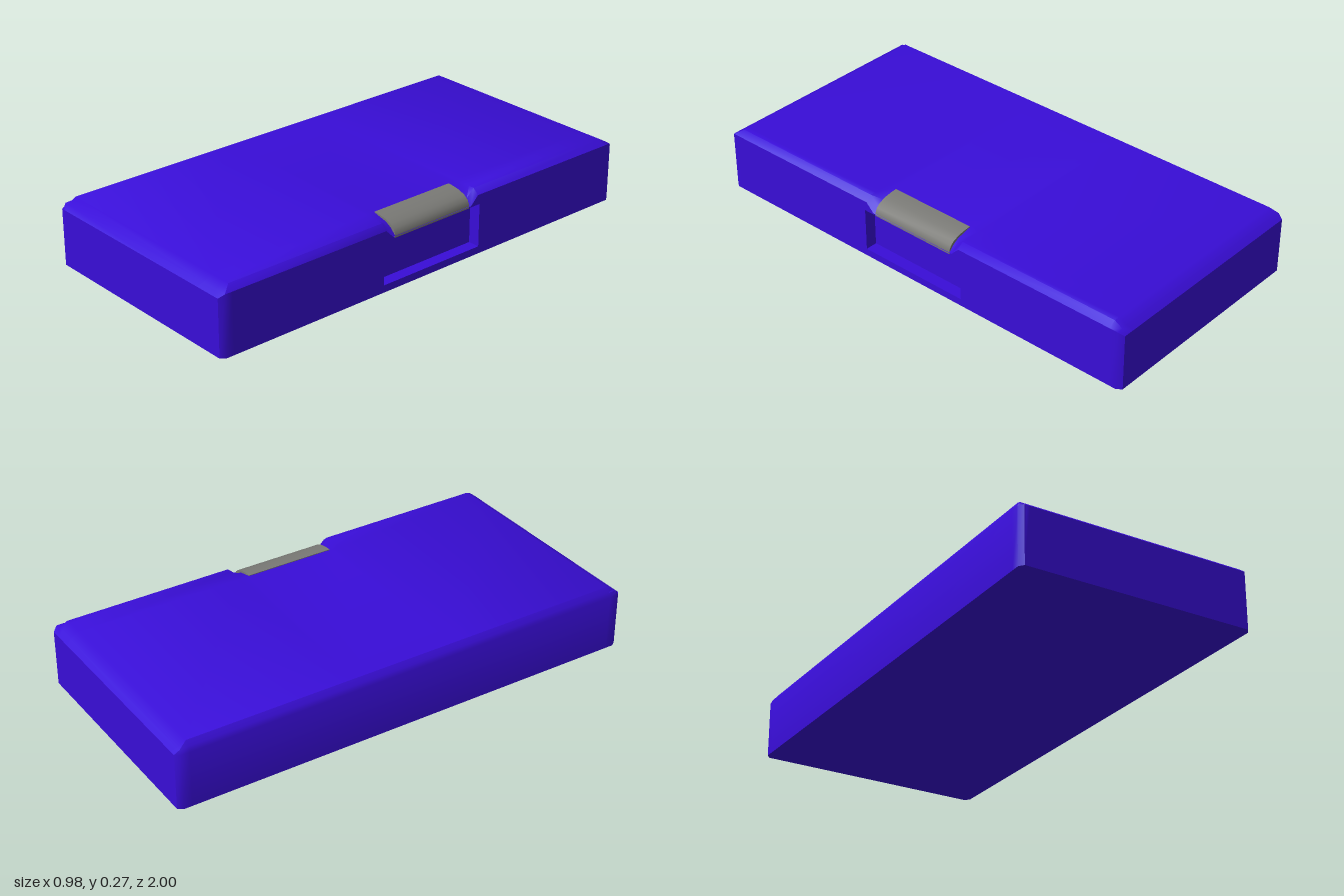
import * as THREE from 'three';
import { toCreasedNormals } from 'three/addons/utils/BufferGeometryUtils.js';

const W = 0.49;          // half width
const TOP = 0.272;       // top height
const LIP = 0.19;        // half length of the grey lip
const REC = { z: 0.245, y0: 0.03, y1: 0.21, x: 0.44 }; // finger recess

// Stations along the body: z, half width, height limit, notch under the lip
const HALF = [
  [0.2, W, TOP, true], [0.235, W, TOP, false], [0.945, W, TOP, false],
  [0.98, W, 0.252, false], [1, 0.475, 0.235, false],
];
const STATIONS = [
  ...HALF.map(([z, ...rest]) => [-z, ...rest]).reverse(),
  ...HALF,
];

// Cross-section from bottom left, over the top, to bottom right
function section([z, w, cap, notch]) {
  const edge = notch ? [0.255, 0.24, 0.215] : [TOP, TOP, 0.25];
  const pts = [
    [-W, 0], [-W, 0.235], [-0.481, 0.254], [-0.465, TOP], [0.37, TOP],
    [0.44, edge[0]], [0.465, edge[1]], [W, edge[2]], [W, 0],
  ];
  return pts.map(([x, y]) => [x * w / W, Math.min(y, cap), z]);
}

function triangles(list, crease) {
  const geo = new THREE.BufferGeometry();
  geo.setAttribute('position', new THREE.Float32BufferAttribute(list.flat(), 3));
  geo.computeVertexNormals();
  return toCreasedNormals(geo, crease);
}

// Case: lofted along z, the right wall is left open for the recessed panel
function caseGeometry() {
  const tris = [];
  const rings = STATIONS.map(section);
  const n = rings[0].length;
  for (let s = 0; s < rings.length - 1; s++) {
    const a = rings[s], b = rings[s + 1];
    const middle = Math.max(Math.abs(a[0][2]), Math.abs(b[0][2])) < 0.95;
    for (let i = 0; i < n; i++) {
      if (middle && i === n - 2) continue;
      const j = (i + 1) % n;
      tris.push(a[i], b[i], b[j], a[i], b[j], a[j]);
    }
  }
  const back = rings[0], front = rings[rings.length - 1];
  for (let i = 1; i < n - 1; i++) {
    tris.push(back[0], back[i], back[i + 1]);
    tris.push(front[0], front[i + 1], front[i]);
  }
  return triangles(tris, 0.8);
}

// Right wall with the recess opening, drawn in (z, y)
function rightWallGeometry() {
  const half = [
    [LIP, 0.21], [0.2, 0.215], [0.235, 0.25], [0.945, 0.25], [0.945, 0],
  ];
  const opening = [
    [-LIP, REC.y1], [-REC.z, REC.y1], [-REC.z, REC.y0],
    [REC.z, REC.y0], [REC.z, REC.y1],
  ];
  const outline = [
    ...half, ...half.map(([z, y]) => [-z, y]).reverse(), ...opening,
  ];
  const shape = new THREE.Shape(outline.map((p) => new THREE.Vector2(...p)));
  return new THREE.ShapeGeometry(shape).rotateY(Math.PI / 2).translate(W, 0, 0);
}

// Recess: back, floor, ceiling and both ends, all facing inwards
function recessGeometry() {
  const { z, y0, y1, x } = REC;
  const tris = [];
  const quad = (a, b, c, d) => tris.push(a, b, c, a, c, d);
  quad([x, y0, z], [x, y0, -z], [x, y1, -z], [x, y1, z]);
  quad([x, y0, z], [W, y0, z], [W, y0, -z], [x, y0, -z]);
  quad([x, y1, z], [x, y1, -z], [W, y1, -z], [W, y1, z]);
  quad([x, y0, -z], [W, y0, -z], [W, y1, -z], [x, y1, -z]);
  quad([W, y0, z], [x, y0, z], [x, y1, z], [W, y1, z]);
  return triangles(tris, 0.3);
}

// Lip: a rounded tab rolled over the top right edge
function lipGeometry() {
  const profile = [
    [0.375, 0.25], [0.44, 0.208], [0.489, 0.208], [0.489, 0.222],
    [0.48, 0.241], [0.463, 0.255], [0.435, 0.266], [0.4, 0.272], [0.375, 0.2735],
  ];
  const shape = new THREE.Shape(profile.map((p) => new THREE.Vector2(...p)));
  const geo = new THREE.ExtrudeGeometry(shape, { depth: 2 * LIP, bevelEnabled: false });
  return toCreasedNormals(geo.translate(0, 0, -LIP), 0.8);
}

export function createModel() {
  const blue = new THREE.MeshStandardMaterial({ color: 0x390dd8 });
  blue.name = 'caseBlue';
  const grey = new THREE.MeshStandardMaterial({ color: 0x7a7a76 });
  grey.name = 'lipGrey';

  const model = new THREE.Group();
  model.name = 'box';
  const add = (name, geometry, material) => {
    const mesh = new THREE.Mesh(geometry, material);
    mesh.name = name;
    model.add(mesh);
  };
  add('case', caseGeometry(), blue);
  add('rightWall', rightWallGeometry(), blue);
  add('fingerRecess', recessGeometry(), blue);
  add('lip', lipGeometry(), grey);
  return model;
}
